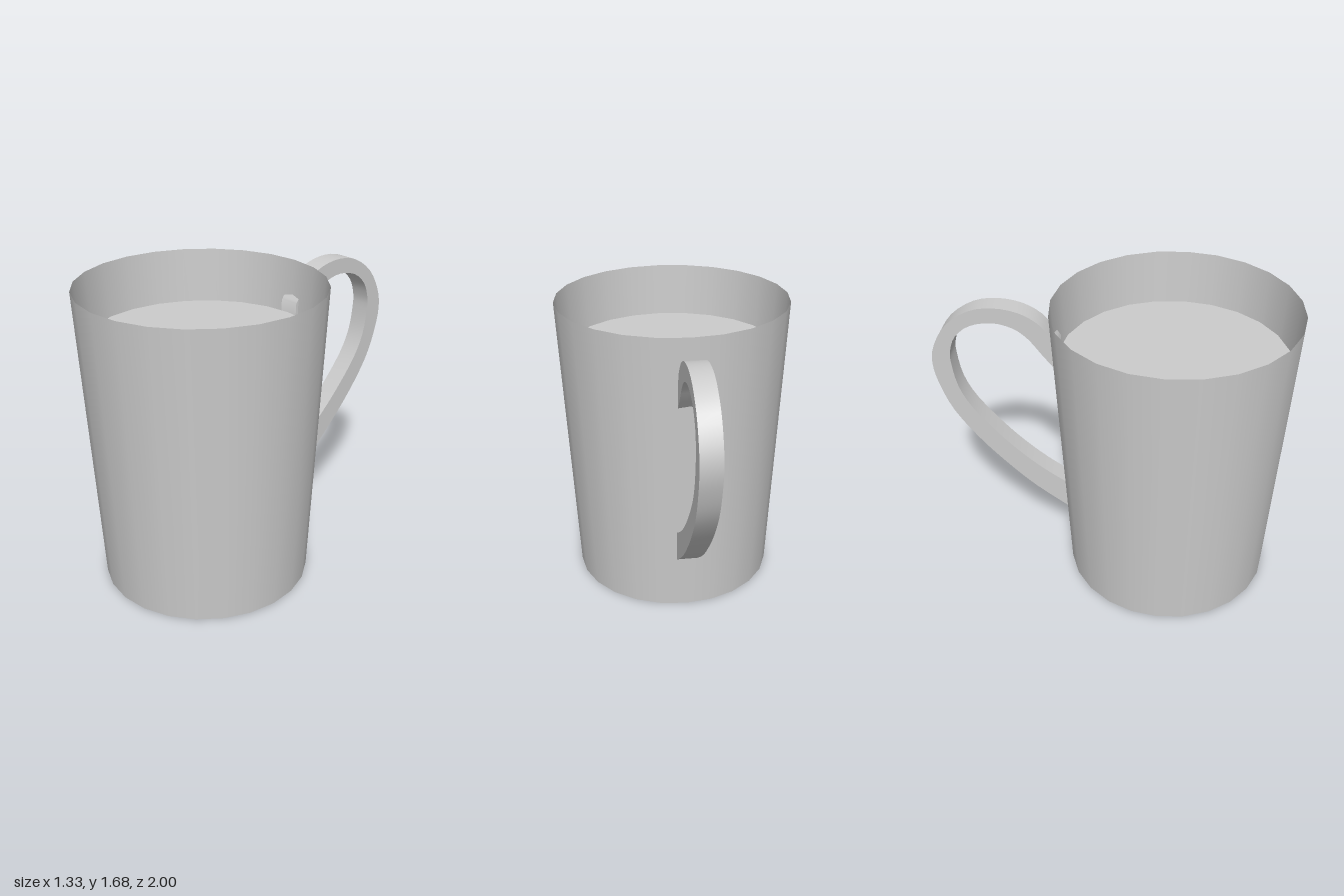
import * as THREE from 'three';
import { toCreasedNormals } from 'three/addons/utils/BufferGeometryUtils.js';

const SIDES = 24, HEIGHT = 1.68, TOP_R = 0.667, BASE_R = 0.58, CUP_Z = 0.333;
const HANDLE_WIDTH = 0.116;

const grey = new THREE.MeshStandardMaterial({ color: 0xcccccc, side: THREE.DoubleSide });

function addPart(group, name, geometry) {
  const mesh = new THREE.Mesh(geometry, grey);
  mesh.name = name;
  group.add(mesh);
  return mesh;
}

// Flat disc with a corner on the z axis, facing up (or down)
function disc(radius, y, down = false) {
  return new THREE.CircleGeometry(radius, SIDES, Math.PI / 2)
    .rotateX(down ? Math.PI / 2 : -Math.PI / 2)
    .translate(0, y, CUP_Z);
}

// Handle side profile: x is the distance behind the centre, y is height
function handleGeometry() {
  const points = (list) => list.map(([x, y]) => new THREE.Vector2(x, y));
  const outer = points([
    [0.295, 1.44], [0.32, 1.475], [0.395, 1.565], [0.5, 1.622], [0.635, 1.64],
    [0.77, 1.612], [0.9, 1.52], [0.978, 1.39], [1, 1.27], [0.973, 1.13],
    [0.903, 0.96], [0.77, 0.775], [0.61, 0.602], [0.45, 0.455], [0.25, 0.31],
  ]);
  const inner = points([
    [0.25, 0.49], [0.395, 0.585], [0.53, 0.695], [0.66, 0.825], [0.796, 0.99],
    [0.866, 1.13], [0.893, 1.28], [0.89, 1.36], [0.855, 1.45], [0.77, 1.522],
    [0.645, 1.55], [0.53, 1.525], [0.45, 1.465], [0.38, 1.375], [0.295, 1.27],
  ]);
  const outline = [
    ...new THREE.SplineCurve(outer).getPoints(42),
    ...new THREE.SplineCurve(inner).getPoints(42),
  ];
  const geometry = new THREE.ExtrudeGeometry(new THREE.Shape(outline), {
    depth: HANDLE_WIDTH, bevelEnabled: false,
  });
  geometry.translate(0, 0, -HANDLE_WIDTH / 2).rotateY(Math.PI / 2);
  return toCreasedNormals(geometry, Math.PI / 5);
}

export function createModel() {
  const mug = new THREE.Group();
  mug.name = 'mug';

  // Thin tapered wall, open at the top
  const wall = new THREE.CylinderGeometry(TOP_R, BASE_R, HEIGHT, SIDES, 1, true);
  addPart(mug, 'wall', wall.translate(0, HEIGHT / 2, CUP_Z));
  addPart(mug, 'base', disc(BASE_R, 0, true));

  // Surface of the drink, just clear of the wall
  addPart(mug, 'drinkSurface', disc(0.63, 1.38));

  // Looped strap handle at the back
  addPart(mug, 'handle', handleGeometry());
  return mug;
}
